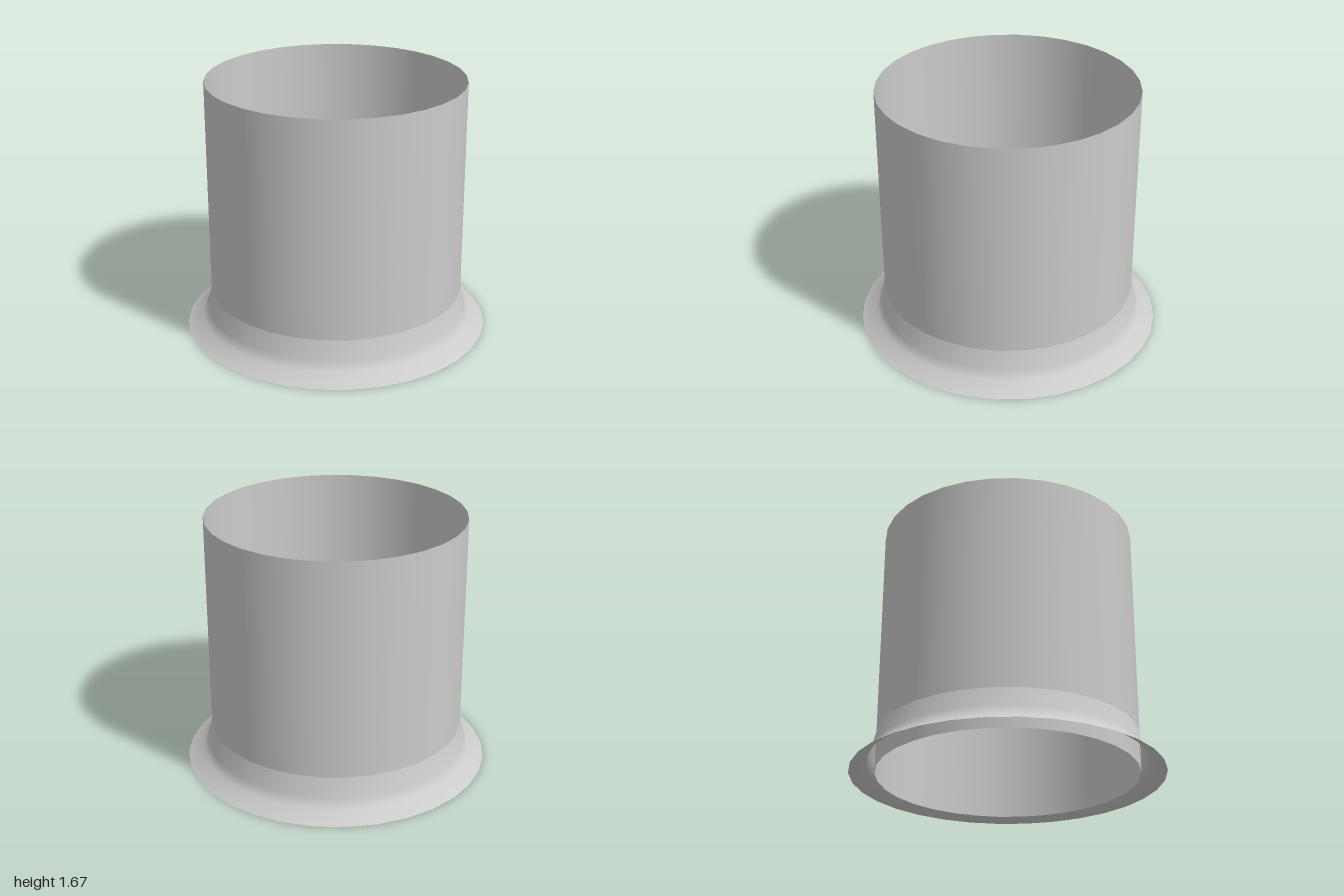
import * as THREE from 'three';

const SIDES = 32;
const TUBE_RADIUS = 0.836;
const HEIGHT = 1.675;

export function createModel() {
  const group = new THREE.Group();
  group.name = 'flangedPipe';
  const material = new THREE.MeshStandardMaterial({ color: 0xcccccc, side: THREE.DoubleSide });

  const addPart = (name, geometry) => {
    const mesh = new THREE.Mesh(geometry, material);
    mesh.name = name;
    group.add(mesh);
    return mesh;
  };

  // Thin open tube reaching from the ground to the top
  const tube = addPart('tube', new THREE.CylinderGeometry(TUBE_RADIUS, TUBE_RADIUS, HEIGHT, SIDES, 1, true));
  tube.position.y = HEIGHT / 2;

  // Flared skirt around the foot, open underneath
  const profile = [[1, 0], [0.895, 0.063], [0.868, 0.126], [TUBE_RADIUS, 0.252]]
    .map(([r, y]) => new THREE.Vector2(r, y));
  addPart('flaredSkirt', new THREE.LatheGeometry(profile, SIDES));

  return group;
}
